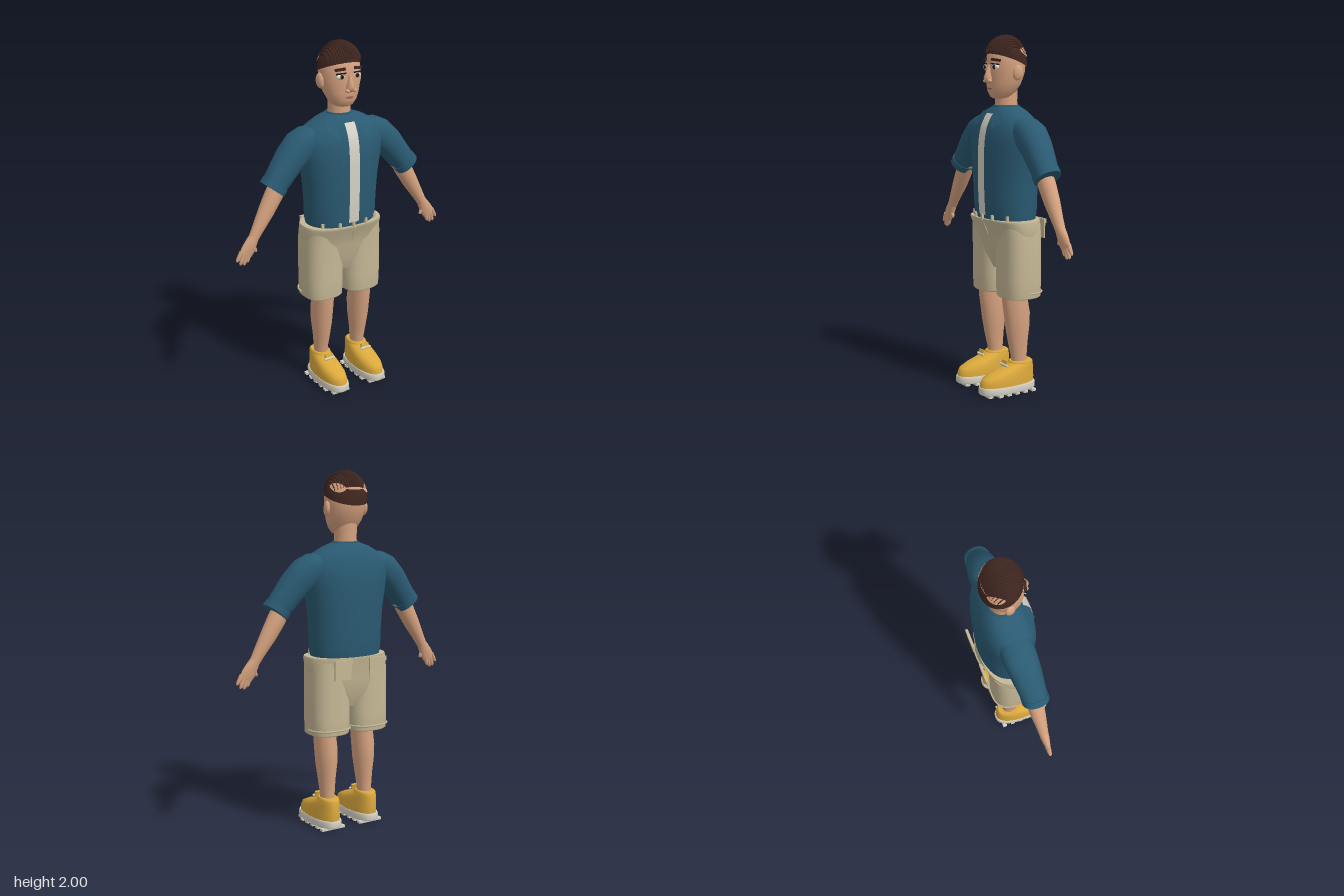
import * as THREE from 'three';

const mat = (name, color, side = THREE.FrontSide) => {
  const m = new THREE.MeshStandardMaterial({ color, side });
  m.name = name;
  return m;
};

export function createModel() {
  const skin = mat('skin', 0xd6a27f, THREE.DoubleSide);
  const shirtBlue = mat('shirt blue', 0x2a5a72, THREE.DoubleSide);
  const khaki = mat('khaki', 0xc6b896);
  const cream = mat('cream', 0xd6d2c6, THREE.DoubleSide);
  const yellow = mat('shoe yellow', 0xdba93c);
  const hairBrown = mat('hair brown', 0x402620, THREE.DoubleSide);
  const white = mat('eye white', 0xeeeae2);
  const dark = mat('pupil dark', 0x1c1614);
  const lip = mat('lip', 0x9a6450);

  const model = new THREE.Group();
  model.name = 'standingMan';
  const add = (name, geometry, material, parent = model) => {
    const m = new THREE.Mesh(geometry, material);
    m.name = name;
    parent.add(m);
    return m;
  };
  const group = (name) => {
    const g = new THREE.Group();
    g.name = name;
    model.add(g);
    return g;
  };
  const box = (name, w, h, d, x, y, z, material, parent) => {
    const m = add(name, new THREE.BoxGeometry(w, h, d), material, parent);
    m.position.set(x, y, z);
    return m;
  };
  const ball = (name, r, sx, sy, sz, x, y, z, material, parent) => {
    const m = add(name, new THREE.SphereGeometry(r, 20, 14), material, parent);
    m.scale.set(sx, sy, sz);
    m.position.set(x, y, z);
    return m;
  };

  // Skin of superellipse rings [x, y, z, radius across, radius in z] along a path, capped at both ends
  const loft = (rings, p = 2, n = 40) => {
    const pos = [], idx = [], last = rings.length - 1;
    const sp = (v) => Math.sign(v) * Math.abs(v) ** (2 / p);
    const ring = (i) => {
      const a = rings[Math.max(i - 1, 0)], b = rings[Math.min(i + 1, last)], [x, y, z, ru, rv] = rings[i];
      const t = new THREE.Vector2(b[0] - a[0], b[1] - a[1]).normalize();
      for (let j = 0; j < n; j++) {
        const g = (j / n) * Math.PI * 2, u = ru * sp(Math.cos(g));
        pos.push(x + t.y * u, y - t.x * u, z + rv * sp(Math.sin(g)));
      }
    };
    rings.forEach((_, i) => ring(i));
    for (let i = 0; i < last; i++) {
      for (let j = 0; j < n; j++) {
        const a = i * n + j, b = i * n + ((j + 1) % n);
        idx.push(a, a + n, b, b, a + n, b + n);
      }
    }
    for (const end of [0, last]) {
      const start = pos.length / 3;
      ring(end);
      pos.push(...rings[end].slice(0, 3));
      for (let j = 0; j < n; j++) {
        const a = start + j, b = start + ((j + 1) % n);
        idx.push(start + n, end ? b : a, end ? a : b);
      }
    }
    const g = new THREE.BufferGeometry();
    g.setAttribute('position', new THREE.Float32BufferAttribute(pos, 3));
    g.setIndex(idx);
    g.computeVertexNormals();
    return g;
  };
  // Upright form from rows [y, half width, front z, back z]
  const upright = (x, rows, p, n) =>
    loft(rows.map(([y, r, f, b]) => [x, y, (f + b) / 2, r, (f - b) / 2]), p, n);

  // Shirt body
  const torso = [[0.96, 0.2, 0.1, -0.175], [1.02, 0.212, 0.112, -0.186], [1.12, 0.214, 0.118, -0.19],
    [1.25, 0.225, 0.12, -0.192], [1.36, 0.245, 0.12, -0.192], [1.44, 0.258, 0.113, -0.188],
    [1.5, 0.255, 0.1, -0.175], [1.55, 0.205, 0.075, -0.155], [1.585, 0.14, 0.05, -0.135], [1.61, 0.07, 0.027, -0.112]];
  add('shirtBody', upright(0, torso, 2.2, 56), shirtBlue);
  const shirtZ = (x, y) => {
    const i = Math.max(1, torso.findIndex((r) => r[0] >= y));
    const a = torso[i - 1], b = torso[i], k = (y - a[0]) / (b[0] - a[0]);
    const [, r, f, bk] = a.map((v, j) => v + (b[j] - v) * k);
    return (f + bk) / 2 + ((f - bk) / 2) * (1 - Math.min(1, Math.abs(x) / r) ** 2.2) ** (1 / 2.2);
  };
  const onShirt = (g, lift) => {
    const p = g.attributes.position;
    for (let i = 0; i < p.count; i++) p.setZ(i, shirtZ(p.getX(i), p.getY(i)) + lift);
    g.computeVertexNormals();
    return g;
  };
  add('frontStrip', onShirt(new THREE.PlaneGeometry(0.064, 0.56, 4, 28).translate(0, 1.29, 0), 0.005), cream);
  const neckline = add('neckline', new THREE.TorusGeometry(0.068, 0.007, 8, 36).rotateX(Math.PI / 2), shirtBlue);
  neckline.position.set(0, 1.608, -0.042);

  // Neck and head
  add('neck', upright(0, [[1.56, 0.065, 0.02, -0.105], [1.64, 0.062, 0.02, -0.104], [1.74, 0.064, 0.02, -0.108]]), skin);
  const head = group('head');
  add('skull', upright(0, [[1.65, 0.04, 0.035, -0.05], [1.66, 0.06, 0.052, -0.07], [1.69, 0.083, 0.065, -0.092],
    [1.73, 0.102, 0.068, -0.118], [1.79, 0.116, 0.07, -0.14], [1.85, 0.118, 0.07, -0.146], [1.9, 0.109, 0.059, -0.142],
    [1.95, 0.083, 0.03, -0.113], [1.98, 0.04, -0.01, -0.08]]), skin, head);
  add('nose', upright(0, [[1.735, 0.012, 0.078, 0.04], [1.745, 0.024, 0.094, 0.04], [1.765, 0.024, 0.102, 0.04],
    [1.79, 0.015, 0.093, 0.04], [1.835, 0.01, 0.075, 0.04]], 2, 20), skin, head);
  ball('mouth', 0.024, 1, 0.28, 0.3, 0, 1.707, 0.066, lip, head);

  // Hair dome: point at angle a, polar fraction t, raised by lift
  const dome = (a, t, lift) => {
    const s = Math.sin((t * Math.PI) / 2), z = -0.045 + (0.11 + lift) * s * Math.sin(a);
    const low = 1.865 + 0.39 * (-0.045 + 0.11 * Math.sin(a)) + 0.004;
    return [(0.122 + lift) * s * Math.cos(a), low + (1.992 + lift - low) * Math.cos((t * Math.PI) / 2), z];
  };
  const domePatch = (a0, a1, tAt, lift, nu, nv) => {
    const g = new THREE.PlaneGeometry(1, 1, nu, nv), p = g.attributes.position;
    for (let i = 0; i < p.count; i++) {
      const u = p.getX(i) + 0.5, v = 0.5 - p.getY(i);
      p.setXYZ(i, ...dome(a0 + (a1 - a0) * u, tAt(u, v), lift));
    }
    g.computeVertexNormals();
    return g;
  };
  add('hairCap', domePatch(Math.PI * 2, 0, (u, v) => v, 0, 48, 14), hairBrown, head);
  for (let i = -8; i <= 8; i++) {
    const x = i * 0.0125, pts = [], w = Math.sqrt(0.97 - (x / 0.122) ** 2);
    for (let k = 0; k <= 12; k++) {
      const zn = w * (1 - (k / 12) * 1.85), xn = x / 0.122;
      pts.push(new THREE.Vector3(...dome(Math.atan2(zn, xn), (Math.asin(Math.hypot(xn, zn)) * 2) / Math.PI, 0.001)));
    }
    add('hairStrand', new THREE.TubeGeometry(new THREE.CatmullRomCurve3(pts), 24, 0.006, 6), hairBrown, head);
  }

  // Waist, fly and belt loops
  const hips = [[0.7, 0.1, 0.03, -0.12], [0.78, 0.2, 0.062, -0.155], [0.86, 0.238, 0.075, -0.165],
    [0.93, 0.244, 0.095, -0.175], [0.975, 0.243, 0.118, -0.184], [0.987, 0.238, 0.118, -0.184]];
  add('shortsWaist', upright(0, hips, 2.5, 56), khaki);
  box('fly', 0.008, 0.1, 0.006, 0.008, 0.935, 0.099, khaki).rotation.x = 0.38;
  for (const x of [-0.17, -0.085, 0, 0.085, 0.17]) box('beltLoop', 0.014, 0.04, 0.014, x, 0.995, shirtZ(x, 1.0) + 0.007, khaki);

  for (const s of [1, -1]) {
    const side = s > 0 ? 'left' : 'right';
    const path = (rows) => rows.map(([x, ...r]) => [s * x, ...r]);

    // Face details
    ball(side + 'Eye', 0.026, 1, 0.62, 0.5, s * 0.05, 1.822, 0.057, white, head);
    ball(side + 'Iris', 0.012, 1, 1, 0.4, s * 0.048, 1.822, 0.068, hairBrown, head);
    ball(side + 'Pupil', 0.006, 1, 1, 0.4, s * 0.048, 1.822, 0.072, dark, head);
    const lid = box(side + 'UpperLid', 0.056, 0.006, 0.012, s * 0.051, 1.839, 0.064, dark, head);
    lid.rotation.set(0, s * 0.3, s * -0.08);
    const brow = box(side + 'Eyebrow', 0.058, 0.014, 0.012, s * 0.055, 1.861, 0.061, hairBrown, head);
    brow.rotation.set(0, s * 0.4, s * -0.12);
    ball(side + 'Nostril', 0.013, 1, 0.8, 1.1, s * 0.021, 1.747, 0.08, skin, head);
    const ear = ball(side + 'Ear', 0.042, 0.4, 1, 0.68, s * 0.119, 1.792, -0.04, skin, head);
    ear.rotation.set(-0.15, s * -0.3, 0);
    const a = (d) => (s > 0 ? d : 180 - d) * Math.PI / 180;
    add(side + 'BareScalp', domePatch(a(-8), a(-62),
      (u, v) => 0.7 + (v - 0.5) * 0.2 * Math.sin(Math.PI * u) ** 0.6, 0.006, 12, 4), skin, head);

    // Collar flap
    const flap = new THREE.Shape([[0.045, 1.585], [0.05, 1.545], [0.085, 1.49], [0.14, 1.535], [0.1, 1.58]]
      .map(([x, y]) => new THREE.Vector2(s * x, y)));
    add(side + 'CollarFlap', onShirt(new THREE.ShapeGeometry(flap), 0.012), shirtBlue);

    // Sleeve, arm and hand
    const arm = group(side + 'Arm');
    add('sleeve', loft(path([[0.15, 1.5, -0.04, 0.06, 0.08], [0.2, 1.48, -0.04, 0.08, 0.09], [0.25, 1.45, -0.04, 0.09, 0.092],
      [0.315, 1.393, -0.033, 0.083, 0.085], [0.42, 1.263, -0.021, 0.07, 0.07], [0.434, 1.246, -0.02, 0.07, 0.07]]), 2.2), shirtBlue, arm);
    add('sleeveCuff', loft(path([[0.413, 1.272, -0.021, 0.075, 0.074], [0.436, 1.243, -0.02, 0.075, 0.074]]), 2.2), shirtBlue, arm);
    add('forearm', loft(path([[0.38, 1.285, -0.022, 0.052, 0.048], [0.425, 1.21, -0.022, 0.052, 0.047],
      [0.475, 1.125, -0.02, 0.046, 0.042], [0.53, 1.035, -0.016, 0.034, 0.031], [0.56, 0.985, -0.015, 0.029, 0.026]])), skin, arm);
    add('palm', loft(path([[0.553, 0.998, -0.015, 0.028, 0.026], [0.573, 0.965, -0.014, 0.035, 0.025],
      [0.595, 0.928, -0.013, 0.041, 0.02], [0.612, 0.9, -0.012, 0.037, 0.014]])), skin, arm);
    for (const [x0, y0, x1, y1] of [[0.633, 0.925, 0.664, 0.872], [0.62, 0.912, 0.644, 0.85],
      [0.606, 0.905, 0.622, 0.845], [0.592, 0.9, 0.602, 0.857], [0.568, 0.955, 0.545, 0.908]]) {
      const at = (k, r) => [x0 + (x1 - x0) * k, y0 + (y1 - y0) * k, -0.012, r, r];
      add('finger', loft(path([at(0, 0.013), at(0.6, 0.011), at(0.88, 0.009), at(1, 0.004)]), 2, 12), skin, arm);
    }

    // Shorts leg with hem cord and back pocket
    const x = s * 0.125;
    add(side + 'ShortsLeg', upright(x, [[0.548, 0.108, 0.062, -0.15], [0.556, 0.117, 0.07, -0.16], [0.65, 0.12, 0.072, -0.16],
      [0.78, 0.12, 0.072, -0.16], [0.9, 0.117, 0.075, -0.16], [0.96, 0.11, 0.08, -0.16]], 2.6), khaki);
    const hem = [];
    for (let i = 0; i <= 16; i++) {
      const g = Math.PI * (1 + i / 16), c = Math.cos(g);
      hem.push(new THREE.Vector3(x + 0.122 * Math.sign(c) * Math.abs(c) ** 0.77, 0.58, -0.045 - 0.12 * Math.abs(Math.sin(g)) ** 0.77));
    }
    add(side + 'HemCord', new THREE.TubeGeometry(new THREE.CatmullRomCurve3(hem), 40, 0.005, 6), khaki);
    box(side + 'BackPocket', 0.105, 0.11, 0.009, s * 0.112, 0.925, -0.194, khaki);
    box(side + 'PocketFlap', 0.112, 0.025, 0.009, s * 0.112, 0.968, -0.2, khaki);

    // Lower leg
    add(side + 'Leg', upright(x, [[0.14, 0.038, -0.005, -0.095], [0.2, 0.04, 0, -0.095], [0.28, 0.047, 0.018, -0.1],
      [0.37, 0.058, 0.034, -0.11], [0.45, 0.061, 0.045, -0.113], [0.52, 0.06, 0.055, -0.1], [0.6, 0.062, 0.058, -0.1]]), skin);

    // Shoe
    const shoe = group(side + 'Shoe');
    add('upper', upright(x, [[0.045, 0.073, 0.203, -0.138], [0.075, 0.073, 0.202, -0.14], [0.1, 0.07, 0.187, -0.139],
      [0.122, 0.066, 0.14, -0.138], [0.142, 0.061, 0.08, -0.136], [0.158, 0.056, 0.03, -0.134], [0.17, 0.052, 0.012, -0.13]], 2.2), yellow, shoe);
    add('collar', upright(x, [[0.162, 0.053, 0.014, -0.131], [0.17, 0.055, 0.016, -0.131], [0.178, 0.048, 0.008, -0.122]], 2.2), yellow, shoe);
    add('sole', upright(x, [[0.012, 0.074, 0.205, -0.142], [0.02, 0.078, 0.21, -0.146], [0.045, 0.078, 0.21, -0.146], [0.054, 0.074, 0.206, -0.142]], 2.5), cream, shoe);
    for (let i = 0; i < 6; i++) box('tread', i > 4 ? 0.11 : 0.15, 0.014, 0.026, x, 0.007, -0.105 + i * 0.055, cream, shoe);
    box('tongue', 0.05, 0.035, 0.014, x, 0.168, 0.045, yellow, shoe).rotation.x = -0.3;
    const lace = add('lace', new THREE.CapsuleGeometry(0.007, 0.06, 4, 8).rotateZ(Math.PI / 2), cream, shoe);
    lace.position.set(x, 0.162, 0.053);
  }
  return model;
}
